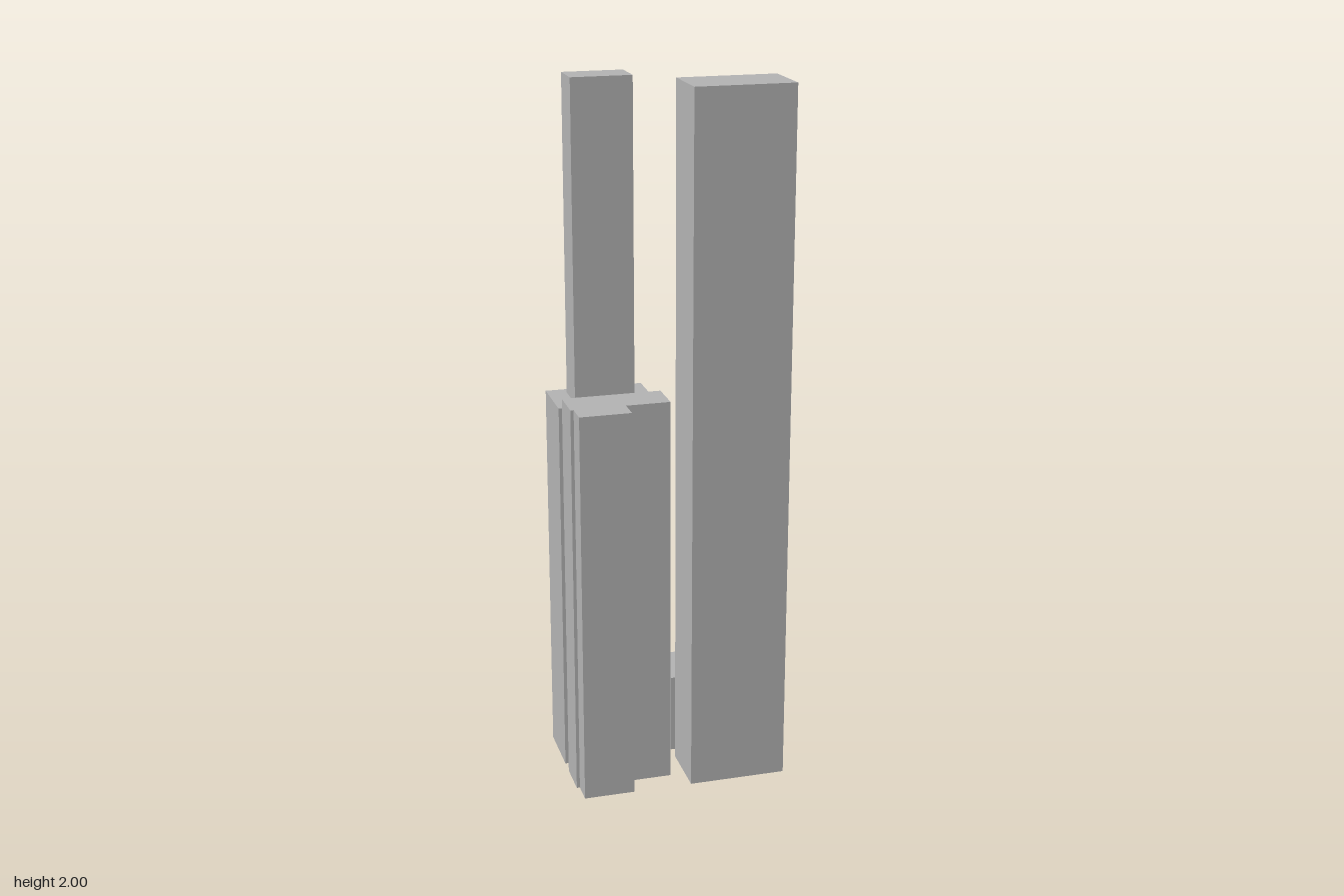
import * as THREE from 'three';

export function createModel() {
  const model = new THREE.Group();
  const concrete = new THREE.MeshStandardMaterial({ color: 0xb2b2b2 });
  concrete.name = 'concrete grey';

  // Half extents of the site and half width of the streets between plots
  const X = 0.301, Z = 0.192, gap = 0.022;

  // Box given by its limits along each axis
  function block(name, parent, [x0, x1], [y0, y1], [z0, z1]) {
    const mesh = new THREE.Mesh(new THREE.BoxGeometry(x1 - x0, y1 - y0, z1 - z0), concrete);
    mesh.position.set((x0 + x1) / 2, (y0 + y1) / 2, (z0 + z1) / 2);
    mesh.name = name;
    parent.add(mesh);
  }

  // Front left: plain full-height slab
  block('slabTower', model, [gap, X], [0, 2], [gap, Z]);

  // Rear pair: wide podium with a smaller tower set back on top
  function steppedBuilding(name, side, podiumTop, towerTop) {
    const group = new THREE.Group();
    group.name = name;
    const span = (a, b) => (side > 0 ? [a, b] : [-b, -a]);
    block('podium', group, span(gap, X), [0, podiumTop], [-Z, -gap]);
    block('upperTower', group, span(0.076, 0.247), [podiumTop, towerTop], [-0.16, -0.055]);
    model.add(group);
  }
  steppedBuilding('tallSteppedBuilding', -1, 1.1, 2);
  steppedBuilding('lowSteppedBuilding', 1, 0.236, 0.43);

  // Front right: slab with a projecting wing, extruded from its plan (x, -z)
  const plan = new THREE.Shape([
    [-X, -0.127], [-0.292, -0.127], [-0.292, -Z], [-0.147, -Z],
    [-0.147, -0.127], [-gap, -0.127], [-gap, -gap], [-X, -gap],
  ].map(([x, y]) => new THREE.Vector2(x, y)));
  const wing = new THREE.ExtrudeGeometry(plan, { depth: 1.142, bevelEnabled: false });
  wing.rotateX(-Math.PI / 2);
  const winged = new THREE.Mesh(wing, concrete);
  winged.name = 'wingedBuilding';
  model.add(winged);

  return model;
}
